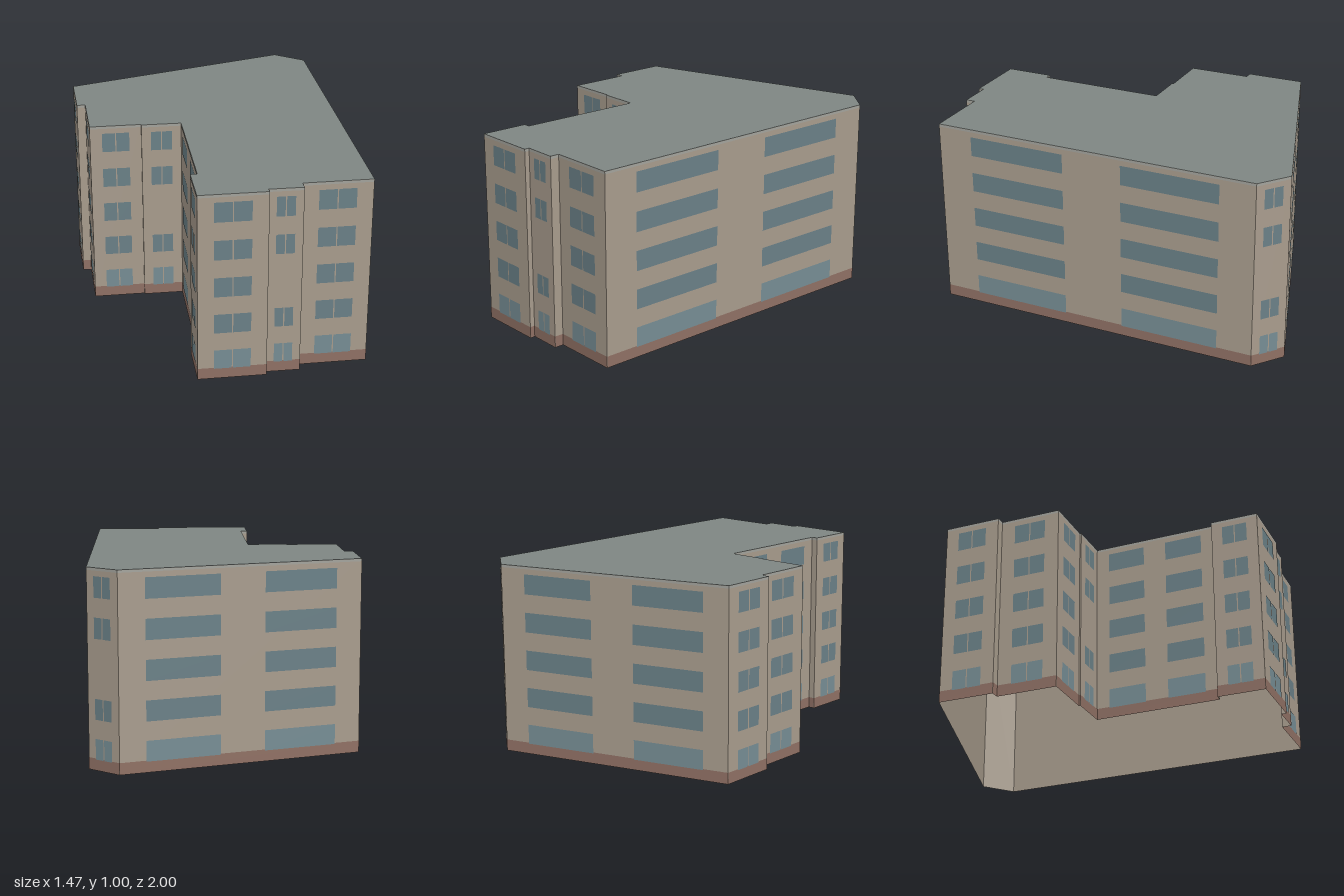
import * as THREE from 'three';
import { mergeGeometries } from 'three/addons/utils/BufferGeometryUtils.js';

// Footprint corners [x, z], in order around the building
const FOOTPRINT = [
  [-0.735, -0.53], [0.45, -1], [0.61, -0.89], [0.73, 0.86],
  [0.38, 0.885], [0.384, 0.934], [0.21, 0.945], [0.214, 0.972],
  [-0.132, 0.996], [-0.15, 0.745], [-0.115, 0.742], [-0.16, 0.07],
  [-0.369, 0.083], [-0.37, 0.075], [-0.64, 0.094], [-0.665, -0.231], [-0.71, -0.229],
];
const HEIGHT = 1;
const FLOORS = 5;

export function createModel() {
  const model = new THREE.Group();
  const parts = { walls: [], plinth: [], roofTrim: [], windows: [], groundWindows: [] };

  FOOTPRINT.forEach(([x0, z0], i) => {
    const [x1, z1] = FOOTPRINT[(i + 1) % FOOTPRINT.length];
    const dx = x1 - x0, dz = z1 - z0;
    const length = Math.hypot(dx, dz);
    const nx = dz / length, nz = -dx / length;

    // Upright panel on this wall, from fraction a to b of its length
    const panel = (part, a, b, yMin, yMax, offset) => {
      const mid = (a + b) / 2;
      const g = new THREE.PlaneGeometry((b - a) * length, yMax - yMin);
      g.rotateY(Math.atan2(nx, nz));
      g.translate(x0 + dx * mid + nx * offset, (yMin + yMax) / 2, z0 + dz * mid + nz * offset);
      parts[part].push(g);
    };

    panel('walls', 0, 1, 0, HEIGHT, 0);
    panel('plinth', 0, 1, 0, 0.06, 0.001);
    panel('roofTrim', 0, 1, 0.986, HEIGHT, 0.001);

    // Narrow returns stay blank; long walls get two ribbon windows per floor
    if (length < 0.15) return;
    const gap = 0.003 / length;
    const spans = length > 0.6
      ? [[0.107, 0.408], [0.592, 0.893]]
      : [[0.235, 0.5 - gap], [0.5 + gap, 0.765]];
    for (let floor = 0; floor < FLOORS; floor++) {
      // The narrowest bays have no window on the middle floor
      if (length < 0.22 && floor === 2) continue;
      const y = 0.055 + floor * 0.2;
      for (const [a, b] of spans) {
        panel(floor === 0 ? 'groundWindows' : 'windows', a, b, y, y + 0.104, 0.002);
      }
    }
  });

  const colors = {
    walls: 0xa89c8d, plinth: 0x8f7064, roofTrim: 0xa3a39c,
    windows: 0x6a8087, groundWindows: 0x768d94,
  };
  for (const [name, list] of Object.entries(parts)) {
    const material = new THREE.MeshStandardMaterial({ color: colors[name] });
    if (name === 'walls') material.side = THREE.DoubleSide;
    const mesh = new THREE.Mesh(mergeGeometries(list), material);
    mesh.name = name;
    model.add(mesh);
  }

  // Flat roof; the underside of the building is open
  const outline = new THREE.Shape(FOOTPRINT.map(([x, z]) => new THREE.Vector2(x, -z)));
  const roof = new THREE.Mesh(
    new THREE.ShapeGeometry(outline).rotateX(-Math.PI / 2).translate(0, HEIGHT, 0),
    new THREE.MeshStandardMaterial({ color: 0x7e8683, side: THREE.DoubleSide }),
  );
  roof.name = 'roof';
  model.add(roof);

  return model;
}
